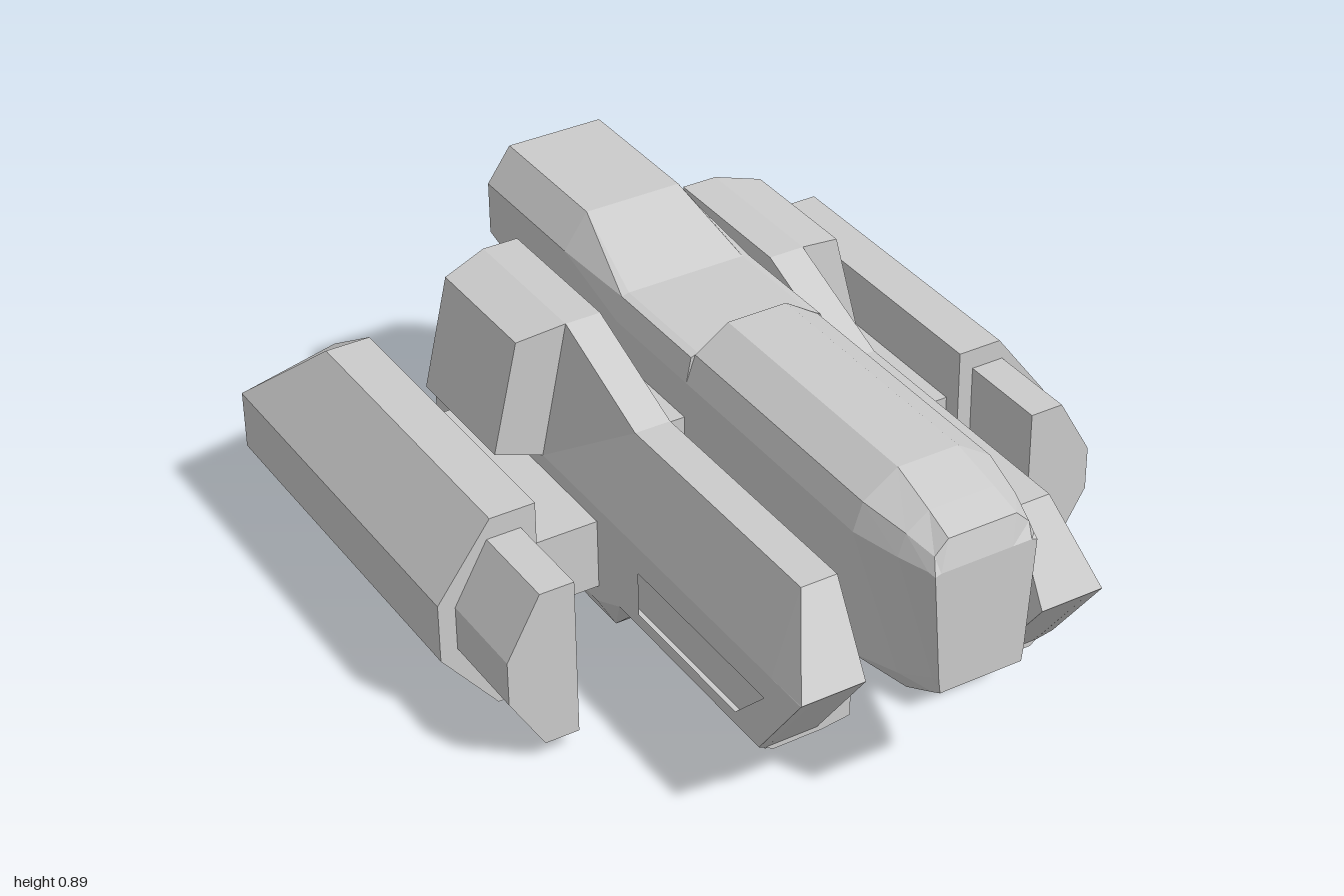
import * as THREE from 'three';

const material = new THREE.MeshStandardMaterial({ color: 0xcccccc, flatShading: true });

// Closed, capped skin over rings of [x, y, z], counter-clockwise as seen from the first ring
function loft(rings) {
  const out = [];
  const n = rings[0].length;
  const middle = r => [0, 1, 2].map(k => r.reduce((s, p) => s + p[k], 0) / n);
  const first = rings[0], last = rings[rings.length - 1];
  const c0 = middle(first), c1 = middle(last);
  for (let j = 0; j < n; j++) {
    const k = (j + 1) % n;
    for (let i = 0; i < rings.length - 1; i++) {
      const a = rings[i][j], b = rings[i][k], c = rings[i + 1][j], d = rings[i + 1][k];
      out.push(...a, ...c, ...b, ...b, ...c, ...d);
    }
    out.push(...c0, ...first[j], ...first[k], ...c1, ...last[k], ...last[j]);
  }
  const g = new THREE.BufferGeometry();
  g.setAttribute('position', new THREE.Float32BufferAttribute(out, 3));
  g.computeVertexNormals();
  return g;
}

const at = (z, points) => points.map(([x, y]) => [x, y, z]);

function outline(points, hole) {
  const shape = new THREE.Shape(points.map(p => new THREE.Vector2(...p)));
  if (hole) shape.holes.push(new THREE.Path(hole.map(p => new THREE.Vector2(...p))));
  return shape;
}

// Side profile in (z, y), filling x from x0 to x1
function sidePlate(points, x0, x1, hole) {
  const g = new THREE.ExtrudeGeometry(outline(points, hole), { depth: x1 - x0, bevelEnabled: false });
  return g.rotateY(-Math.PI / 2).translate(x1, 0, 0);
}

function box(x0, x1, y0, y1, z0, z1) {
  return new THREE.BoxGeometry(x1 - x0, y1 - y0, z1 - z0)
    .translate((x0 + x1) / 2, (y0 + y1) / 2, (z0 + z1) / 2);
}

// Copy reflected across x = 0 with its winding reversed
function mirrored(geometry) {
  const g = geometry.index ? geometry.toNonIndexed() : geometry.clone();
  const p = g.attributes.position;
  const v = i => [-p.getX(i), p.getY(i), p.getZ(i)];
  for (let i = 0; i < p.count; i += 3) {
    const a = v(i), b = v(i + 1), c = v(i + 2);
    p.setXYZ(i, ...a);
    p.setXYZ(i + 1, ...c);
    p.setXYZ(i + 2, ...b);
  }
  g.computeVertexNormals();
  return g;
}

export function createModel() {
  const model = new THREE.Group();
  model.name = 'spacecraft';

  const add = (name, geometry) => {
    const mesh = new THREE.Mesh(geometry, material);
    mesh.name = name;
    model.add(mesh);
  };
  const addPair = (name, geometry) => {
    add(name + 'Left', geometry);
    add(name + 'Right', mirrored(geometry));
  };

  // Fuselage: right-hand half sections from keel to roof, completed by symmetry
  const hull = (z, half) => at(z, [...half, ...half.map(([x, y]) => [-x, y]).reverse()]);
  const cabin = [[0.15, 0.36], [0.195, 0.40], [0.195, 0.73], [0.17, 0.80], [0.08, 0.86]];
  const back = [[0.15, 0.36], [0.195, 0.40], [0.195, 0.73], [0.18, 0.795], [0.16, 0.80]];
  add('fuselage', loft([
    hull(1, [[0.11, 0.40], [0.115, 0.44], [0.135, 0.725], [0.12, 0.73], [0.07, 0.73]]),
    hull(0.98, [[0.115, 0.392], [0.12, 0.435], [0.14, 0.73], [0.125, 0.765], [0.09, 0.80]]),
    hull(0.9, [[0.13, 0.36], [0.155, 0.41], [0.165, 0.73], [0.145, 0.785], [0.086, 0.825]]),
    hull(0.77, cabin),
    hull(0.07, cabin),
    hull(0.068, back),
    hull(-0.25, [[0.15, 0.40], [0.195, 0.46], ...back.slice(2)]),
    hull(-0.5, [[0.15, 0.50], [0.195, 0.55], [0.195, 0.73], [0.195, 0.80], [0.13, 0.89]]),
    hull(-0.65, [[0.15, 0.54], [0.195, 0.60], [0.195, 0.73], [0.195, 0.80], [0.13, 0.89]]),
    hull(-0.89, [[0.15, 0.58], [0.195, 0.66], [0.195, 0.73], [0.195, 0.80], [0.13, 0.89]]),
  ]));
  add('fuselageMount', box(-0.25, 0.25, 0.40, 0.63, -0.64, 0.06));

  // Engine nacelles with a deeper belly behind
  const slim = [[0.23, 0.15], [0.36, 0.15], [0.375, 0.16], [0.375, 0.42], [0.24, 0.42], [0.15, 0.33], [0.15, 0.16]];
  const wide = [[0.23, 0.15], [0.37, 0.15], [0.41, 0.19], [0.41, 0.42], [0.24, 0.42], [0.15, 0.33], [0.15, 0.16]];
  const deep = [[0.23, 0.05], [0.36, 0.05], [0.41, 0.14], [0.41, 0.42], [0.24, 0.42], [0.15, 0.33], [0.15, 0.14]];
  addPair('nacelle', loft([at(0.71, slim), at(0.11, slim), at(0.109, wide), at(0, deep), at(-0.77, deep)]));

  // Open exhaust rim
  const bore = deep.map(([x, y]) => [0.28 + (x - 0.28) * 0.78, 0.235 + (y - 0.235) * 0.86]);
  addPair('exhaustRim', new THREE.ExtrudeGeometry(outline(deep, bore), { depth: 0.05, bevelEnabled: false })
    .translate(0, 0, -0.82));

  // Prow ahead of each nacelle, with a recessed slot in its outer skin
  addPair('prowCore', sidePlate([[0.9, 0.42], [0.7, 0.15], [0.1, 0.15], [0.1, 0.42]], 0.24, 0.375));
  addPair('prowSkin', sidePlate([[0.9, 0.42], [0.73, 0.19], [0.1, 0.19], [0.1, 0.42]], 0.375, 0.41,
    [[0.75, 0.345], [0.63, 0.225], [0.2, 0.225], [0.2, 0.345]]));
  const chine = [[0.37, 0.15], [0.41, 0.19], [0.37, 0.19]];
  addPair('prowChine', loft([chine.map(([x, y]) => [x, y, y < 0.17 ? 0.70 : 0.73]), at(0.1, chine)]));

  // Sloping upper deck over the nacelle
  const deck = (z, x, y) => at(z, [[0.24, 0.42], [0.41, 0.42], [x, y], [0.24, y]]);
  addPair('upperDeck', loft([
    deck(0.9, 0.409, 0.422), deck(0.78, 0.335, 0.64), deck(0.07, 0.335, 0.64),
    deck(-0.25, 0.335, 0.77), deck(-0.66, 0.335, 0.77),
  ]));

  // Flared shoulder, narrowing toward its outer face
  const flare = (xb, yb, xt, yt, z0, z1) => [[xb, yb, z0], [xb, yb, z1], [xt, yt, z1], [xt, yt, z0]];
  addPair('shoulder', loft([
    flare(0.525, 0.445, 0.455, 0.74, -0.28, -0.635),
    flare(0.41, 0.42, 0.335, 0.77, -0.25, -0.66),
    flare(0.24, 0.42, 0.24, 0.77, -0.25, -0.66),
  ]));

  // Arms and outer pods
  addPair('podArm', box(0.40, 0.61, 0.19, 0.38, -0.6, 0.01));
  const pod = [[0.6, 0], [0.72, 0], [0.865, 0.18], [0.865, 0.34], [0.72, 0.535], [0.6, 0.535]];
  const podTail = [[0.6, 0.18], [0.864, 0.18], [0.865, 0.181], [0.865, 0.34], [0.864, 0.341], [0.6, 0.40]];
  // The flat sides run straight to the tail; only the top and bottom slope in
  addPair('outerPod', loft([at(0.06, pod), at(-0.785, pod), at(-1, podTail)]));
  const intake = [[0.64, 0.05], [0.73, 0.05], [0.82, 0.20], [0.82, 0.32], [0.73, 0.48], [0.64, 0.48]];
  addPair('podNose', loft([at(0.31, intake), at(0.05, intake)]));

  return model;
}
